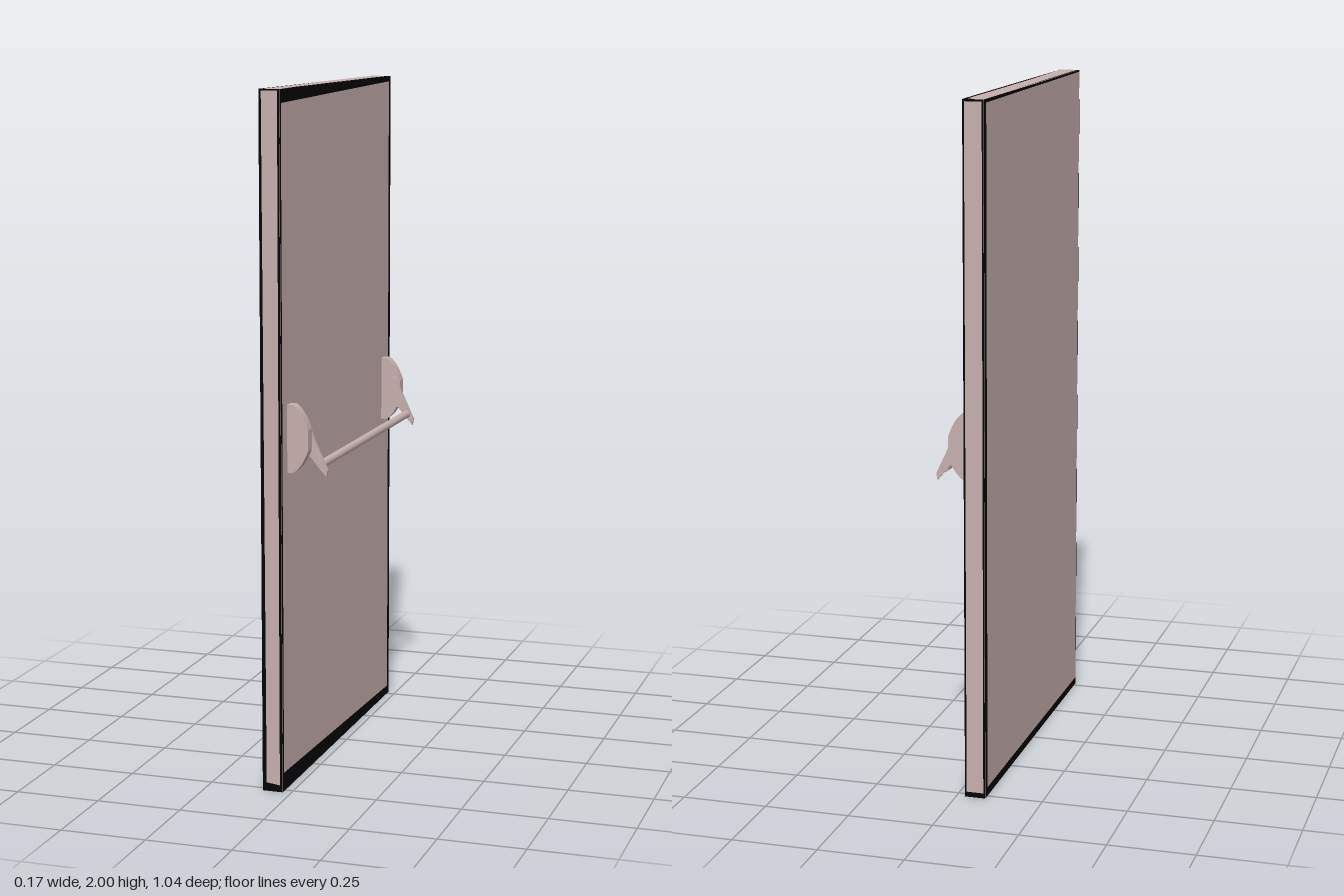
import * as THREE from 'three';

const pink = new THREE.MeshStandardMaterial({ color: 0xc6b0ae });
pink.name = 'dusty pink';
const black = new THREE.MeshStandardMaterial({ color: 0x040505 });
black.name = 'black edging';

// Door slab extents
const X0 = -0.085, X1 = -0.025, H = 2, Z = 0.52, LIFT = 0.001;

function polygon(points) {
  return points.map(([x, y]) => new THREE.Vector2(x, y));
}

// Flat rectangular border with a slightly skewed opening; inner = four corners
function edging(name, x0, y0, x1, y1, inner) {
  const shape = new THREE.Shape(polygon([[x0, y0], [x1, y0], [x1, y1], [x0, y1]]));
  shape.holes.push(new THREE.Path(polygon(inner)));
  const mesh = new THREE.Mesh(new THREE.ShapeGeometry(shape), black);
  mesh.name = name;
  return mesh;
}

// Extrude an x/y profile between two z values
function slice(name, shape, z0, z1) {
  const geo = new THREE.ExtrudeGeometry(shape, { depth: z1 - z0, bevelEnabled: false, curveSegments: 6 });
  geo.translate(0, 0, z0);
  const mesh = new THREE.Mesh(geo, pink);
  mesh.name = name;
  return mesh;
}

export function createModel() {
  const model = new THREE.Group();
  model.name = 'pushBarDoor';

  // Door slab
  const slab = new THREE.Mesh(new THREE.BoxGeometry(X1 - X0, H, 2 * Z), pink);
  slab.name = 'doorSlab';
  slab.position.set((X0 + X1) / 2, H / 2, 0);
  model.add(slab);

  // Black edging on the broad faces
  const barSide = edging('barSideEdging', -Z, 0, Z, H,
    [[-0.51, 0.055], [0.502, 0.026], [0.502, 1.984], [-0.51, 1.962]]);
  barSide.rotation.y = Math.PI / 2;
  barSide.position.x = X1 + LIFT;
  const plainSide = edging('plainSideEdging', -Z, 0, Z, H,
    [[-0.498, 0.026], [0.517, 0.022], [0.517, 1.995], [-0.498, 1.99]]);
  plainSide.rotation.y = -Math.PI / 2;
  plainSide.position.x = X0 - LIFT;

  // Black edging on the narrow faces
  const front = edging('frontEdging', X0, 0, X1, H,
    [[-0.073, 0.025], [-0.033, 0.02], [-0.031, 1.996], [-0.078, 1.996]]);
  front.position.z = Z + LIFT;
  const back = edging('backEdging', -X1, 0, -X0, H,
    [[-X1 + 0.005, 0.015], [-X0 - 0.005, 0.015], [-X0 - 0.005, 1.994], [-X1 + 0.005, 1.994]]);
  back.rotation.y = Math.PI;
  back.position.z = -Z - LIFT;
  const top = edging('topEdging', X0, -Z, X1, Z,
    [[-0.077, -0.514], [-0.033, -0.514], [-0.034, 0.51], [-0.079, 0.508]]);
  top.rotation.x = -Math.PI / 2;
  top.position.y = H;
  const bottom = edging('bottomEdging', X0, -Z, X1, Z,
    [[-0.079, -0.512], [-0.031, -0.512], [-0.031, 0.512], [-0.079, 0.512]]);
  bottom.rotation.x = Math.PI / 2;
  model.add(barSide, plainSide, front, back, top, bottom);

  // Half-round bracket profile
  const bracket = new THREE.Shape();
  bracket.moveTo(X1, 0.925);
  bracket.lineTo(-0.008, 0.925);
  bracket.quadraticCurveTo(0.018, 0.94, 0.037, 0.99);
  bracket.lineTo(0.037, 1.05);
  bracket.quadraticCurveTo(0.018, 1.105, -0.008, 1.12);
  bracket.lineTo(X1, 1.12);
  bracket.closePath();

  // Tapering lever profile
  const lever = new THREE.Shape();
  lever.moveTo(-0.008, 1.02);
  lever.quadraticCurveTo(0, 0.985, 0.035, 0.965);
  lever.lineTo(0.08, 0.912);
  lever.lineTo(0.083, 0.932);
  lever.lineTo(0.042, 1.02);
  lever.quadraticCurveTo(0.028, 1.07, 0.01, 1.062);
  lever.quadraticCurveTo(-0.01, 1.055, -0.008, 1.02);

  // Mounts at both ends of the bar
  for (const [side, s] of [['front', 1], ['back', -1]]) {
    const span = (a, b) => (s > 0 ? [a, b] : [-b, -a]);
    model.add(slice(side + 'Bracket', bracket, ...span(0.433, 0.467)));
    model.add(slice(side + 'Lever', lever, ...span(0.423, 0.434)));
  }

  // Push bar
  const bar = new THREE.Mesh(new THREE.CylinderGeometry(0.012, 0.012, 0.85, 16), pink);
  bar.name = 'pushBar';
  bar.rotation.x = Math.PI / 2;
  bar.position.set(0.061, 0.946, 0);
  model.add(bar);

  return model;
}
